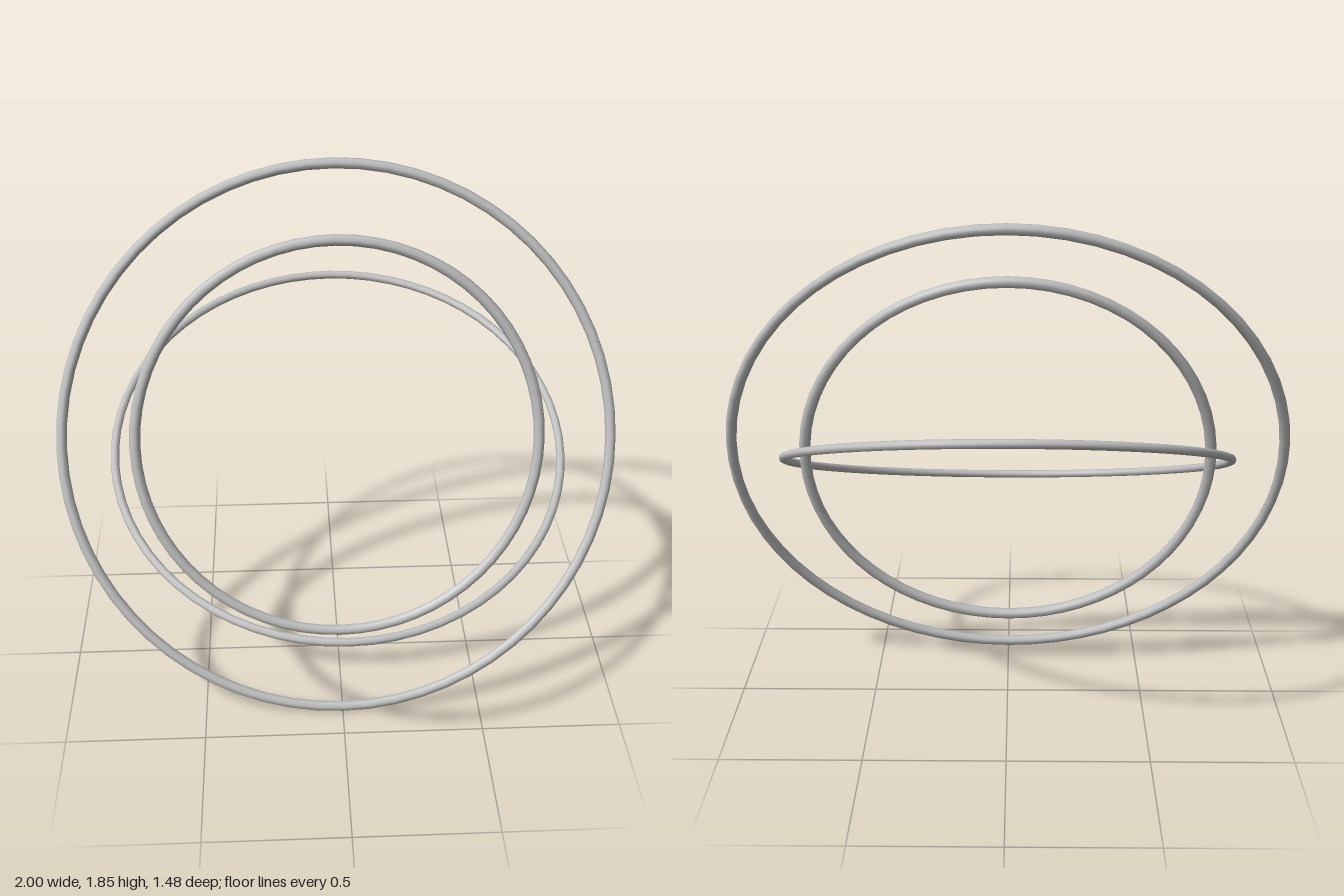
import * as THREE from 'three';

const CENTER_Y = 0.925;

export function createModel() {
  const model = new THREE.Group();
  model.name = 'nestedRings';

  const silver = new THREE.MeshStandardMaterial({ color: 0xc0c0c0 });
  silver.name = 'silver';

  // Three concentric rings, each leaning back about the x axis by its own angle
  const rings = [
    { name: 'outerRing', radius: 0.981, tube: 0.019, tilt: 22.4 },
    { name: 'innerRing', radius: 0.723, tube: 0.02, tilt: 15.4 },
    { name: 'crossRing', radius: 0.793, tube: 0.015, tilt: 66 },
  ];

  for (const { name, radius, tube, tilt } of rings) {
    const ring = new THREE.Mesh(new THREE.TorusGeometry(radius, tube, 8, 64), silver);
    ring.name = name;
    ring.position.y = CENTER_Y;
    ring.rotation.x = -THREE.MathUtils.degToRad(tilt);
    model.add(ring);
  }

  return model;
}
